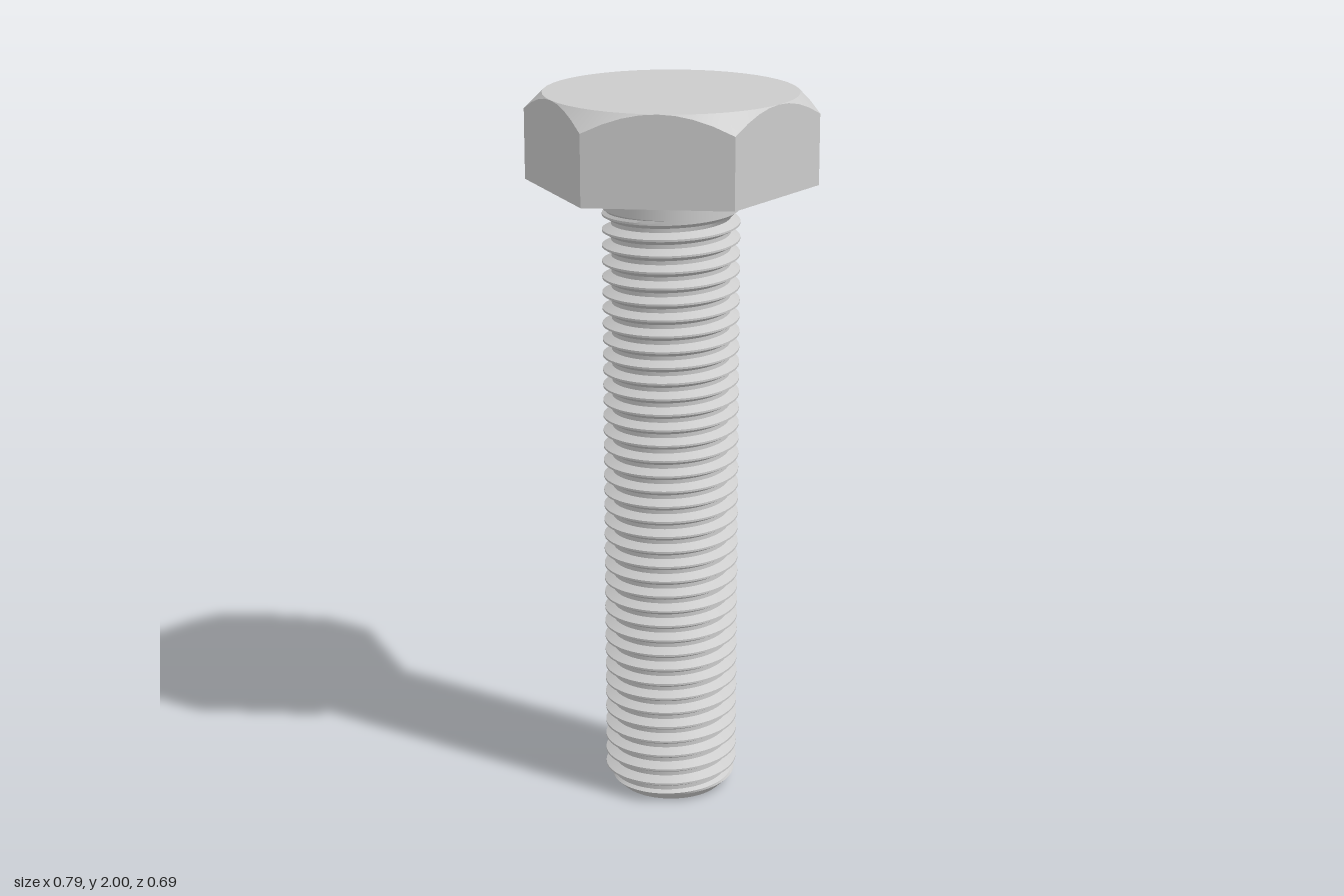
import * as THREE from 'three';
import { toCreasedNormals } from 'three/addons/utils/BufferGeometryUtils.js';

const TOP = 2, HEAD_BASE = 1.755, FLAT = 0.343;   // head heights and half width across flats
const RADIUS = 0.187, ROOT = 0.162, TIP = 0.147;  // thread crest, thread root, tip
const PITCH = 0.0437, THREAD_TOP = 1.69;

// Skin a grid of columns around the y axis; point(theta, row) returns [radius, y].
function loft(columns, rows, point) {
  const pos = [];
  const at = (i, j) => {
    const t = (i / columns) * Math.PI * 2;
    const [r, y] = point(t, j);
    const a = i === columns ? 0 : t;
    return new THREE.Vector3(r * Math.cos(a), y, -r * Math.sin(a));
  };
  const face = (...p) => {
    if (new THREE.Triangle(...p).getArea() > 1e-9) p.forEach((v) => pos.push(v.x, v.y, v.z));
  };
  for (let i = 0; i < columns; i++) {
    for (let j = 0; j < rows - 1; j++) {
      const a = at(i, j), b = at(i + 1, j), c = at(i + 1, j + 1), d = at(i, j + 1);
      face(a, b, c);
      face(a, c, d);
    }
  }
  const geometry = new THREE.BufferGeometry();
  geometry.setAttribute('position', new THREE.Float32BufferAttribute(pos, 3));
  return toCreasedNormals(geometry, Math.PI / 7);
}

// Hexagon whose top corners are cut by a 45 degree cone.
function headGeometry() {
  return loft(48, 5, (t, j) => {
    const side = Math.PI / 3;
    const r = FLAT / Math.cos((t % side) - side / 2);
    return [[0, HEAD_BASE], [r, HEAD_BASE], [r, TOP - (r - FLAT)], [FLAT, TOP], [0, TOP]][j];
  });
}

// Right-handed helical thread, clipped by the tip chamfer and running out into the neck.
function threadGeometry() {
  const profile = [
    [0, RADIUS], [0.125, RADIUS], [0.28, (RADIUS + ROOT) / 2],
    [0.4375, ROOT], [0.6875, ROOT], [0.84, (RADIUS + ROOT) / 2],
  ];
  const n = profile.length;
  const turns = Math.ceil(THREAD_TOP / PITCH) + 2;
  return loft(60, turns * n + 1, (t, j) => {
    if (j === 0) return [0, 0];
    const [offset, r] = profile[j % n];
    const helixY = PITCH * (Math.floor(j / n) - 1.2 + offset + t / (Math.PI * 2));
    const y = THREE.MathUtils.clamp(helixY, 0, THREAD_TOP);
    const runout = RADIUS - (THREAD_TOP - y);
    return [Math.min(Math.max(r, runout), TIP + y), y];
  });
}

export function createModel() {
  const model = new THREE.Group();
  model.name = 'hexBolt';
  const material = new THREE.MeshStandardMaterial({ color: 0xcccccc });
  const add = (name, geometry, y = 0) => {
    const mesh = new THREE.Mesh(geometry, material);
    mesh.name = name;
    mesh.position.y = y;
    model.add(mesh);
  };

  add('head', headGeometry());
  add('threadedShank', threadGeometry());
  // Plain neck between thread and head
  add('neck', new THREE.CylinderGeometry(RADIUS, RADIUS, HEAD_BASE - THREAD_TOP, 60, 1, true),
    (HEAD_BASE + THREAD_TOP) / 2);
  return model;
}
